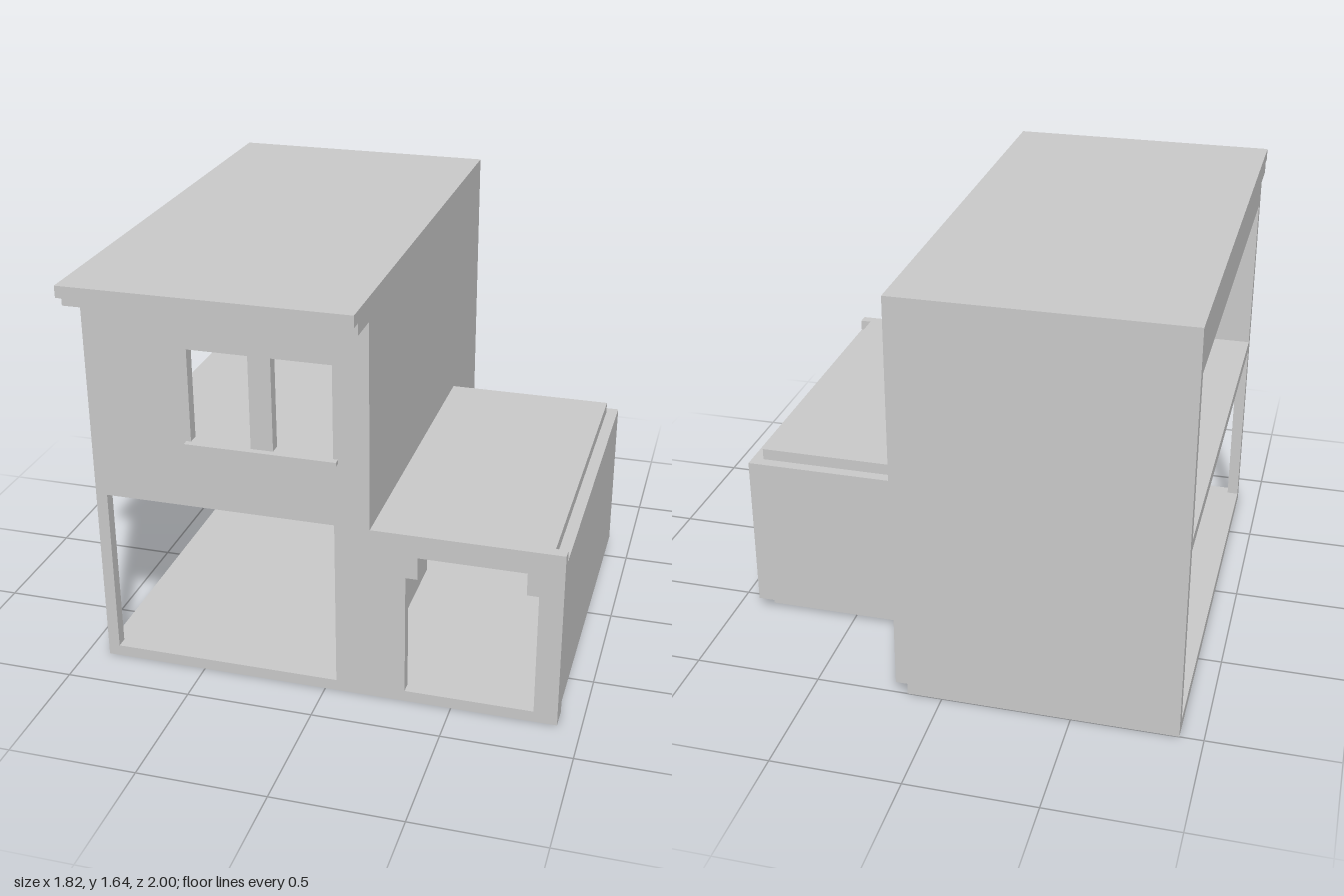
import * as THREE from 'three';

// All sizes are in modules: one wall thickness is one module, 22 modules are one unit.
const MODULE = 1 / 22;

export function createModel() {
  const house = new THREE.Group();
  house.name = 'house';
  const material = new THREE.MeshStandardMaterial({ color: 0xcccccc, flatShading: true });

  function add(name, geometry) {
    const mesh = new THREE.Mesh(geometry, material);
    mesh.name = name;
    house.add(mesh);
    return mesh;
  }

  // Box given by its [min, max] range on each axis
  function slab(name, [x0, x1], [y0, y1], [z0, z1]) {
    const geometry = new THREE.BoxGeometry(x1 - x0, y1 - y0, z1 - z0);
    geometry.translate((x0 + x1) / 2, (y0 + y1) / 2, (z0 + z1) / 2);
    return add(name, geometry);
  }

  const points = (list) => list.map(([x, y]) => new THREE.Vector2(x, y));
  const rect = (x0, x1, y0, y1) => [[x0, y0], [x1, y0], [x1, y1], [x0, y1]];

  // One-module-thick panel with openings
  function panel(outline, holes) {
    const shape = new THREE.Shape(points(outline));
    shape.holes = holes.map((hole) => new THREE.Path(points(hole)));
    return new THREE.ExtrudeGeometry(shape, { depth: 1, bevelEnabled: false });
  }

  // Front wall: wide shop opening, two windows and a doorway with stepped corners
  const doorway = [[7, 1], [18, 1], [18, 12], [17, 12], [17, 14], [8, 14], [8, 12], [7, 12]];
  const front = panel(
    [[-20, 0], [20, 0], [20, 16], [4, 16], [4, 36], [-20, 36]],
    [rect(-19, 1, 1, 16), rect(-11.1, -5.95, 22, 30.1), rect(-4.05, 1, 22, 30.1), doorway]
  );
  add('frontWall', front.translate(0, 0, 17));
  slab('windowSill', [-11.5, 1.4], [21.65, 22], [18, 18.6]);

  // Ground floors, with grooves left under the side walls
  slab('frontBase', [-20, 20], [0, 1], [16, 17]);
  slab('mainFloor', [-20, 3], [0, 1], [-22, 16]);
  slab('annexFloor', [4, 19], [0, 1], [-12, 16]);
  slab('threshold', [3, 4], [0, 1], [-11, -2]);

  // Main block, open on its right side
  slab('backWall', [-20, 4], [1, 36], [-22, -21]);
  const side = panel(rect(-17, 21, 1, 36), [rect(2, 11, 1, 14)]);
  add('dividingWall', side.rotateY(Math.PI / 2).translate(3, 0, 0));
  slab('upperFloor', [-20, 3], [17, 18], [-21, 17]);
  slab('mainRoof', [-20, 3], [32, 36], [-21, 17]);

  // Stepped eaves over the front
  slab('lowerEave', [-20, 4], [34, 35], [18, 21]);
  slab('upperEave', [-20, 4], [35, 36], [18, 22]);

  // Single-storey annex with an inset roof slab
  slab('annexSideWall', [19, 20], [1, 15], [-13, 17]);
  slab('annexBackWall', [4, 19], [1, 15], [-13, -12]);
  slab('annexRoof', [4, 19], [15, 16], [-12, 17]);

  house.scale.setScalar(MODULE);
  const model = new THREE.Group();
  model.name = 'model';
  model.add(house);
  return model;
}
